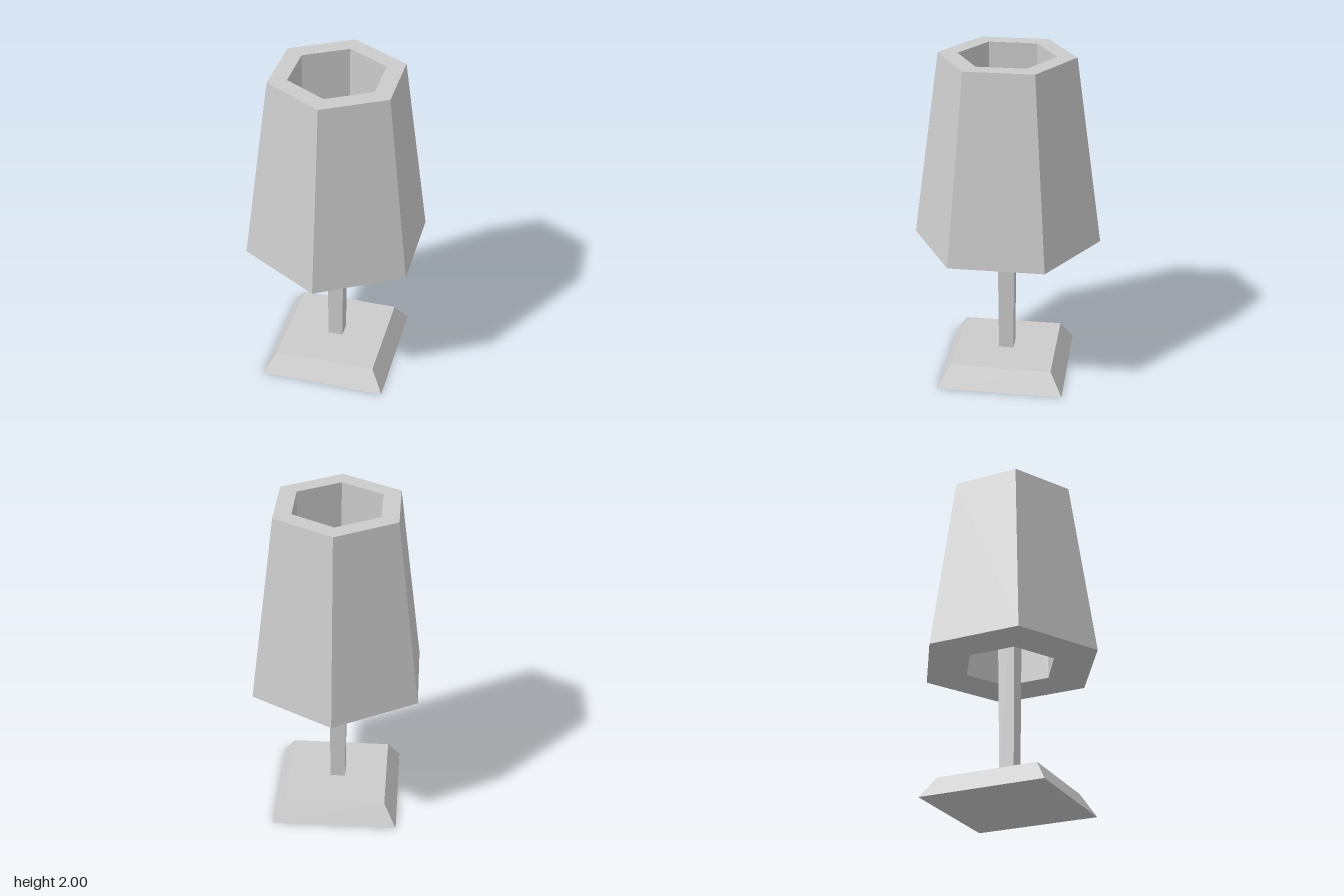
import * as THREE from 'three';

const material = new THREE.MeshStandardMaterial({ color: 0xcccccc, flatShading: true });

// Square frustum between heights y0 and y1, given half widths
function squareTaper(name, halfTop, halfBottom, y0, y1) {
  const geo = new THREE.CylinderGeometry(halfTop * Math.SQRT2, halfBottom * Math.SQRT2, y1 - y0, 4);
  geo.rotateY(Math.PI / 4);
  geo.translate(0, (y0 + y1) / 2, 0);
  const mesh = new THREE.Mesh(geo, material);
  mesh.name = name;
  return mesh;
}

export function createModel() {
  const group = new THREE.Group();
  group.name = 'tableLamp';

  // Sloped square foot and slender post widening upward into the shade
  group.add(squareTaper('base', 0.305, 0.38, 0, 0.127));
  group.add(squareTaper('post', 0.0575, 0.045, 0.12, 1.6));

  // Thick hexagonal shade: tapered outside, straight hollow inside
  const profile = [[0.285, 0.87], [0.56, 0.87], [0.4, 2], [0.285, 2], [0.285, 0.87]]
    .map(([r, y]) => new THREE.Vector2(r, y));
  const shadeGeo = new THREE.LatheGeometry(profile, 6).toNonIndexed();
  shadeGeo.computeVertexNormals();
  const shade = new THREE.Mesh(shadeGeo, material);
  shade.name = 'shade';
  group.add(shade);

  return group;
}
